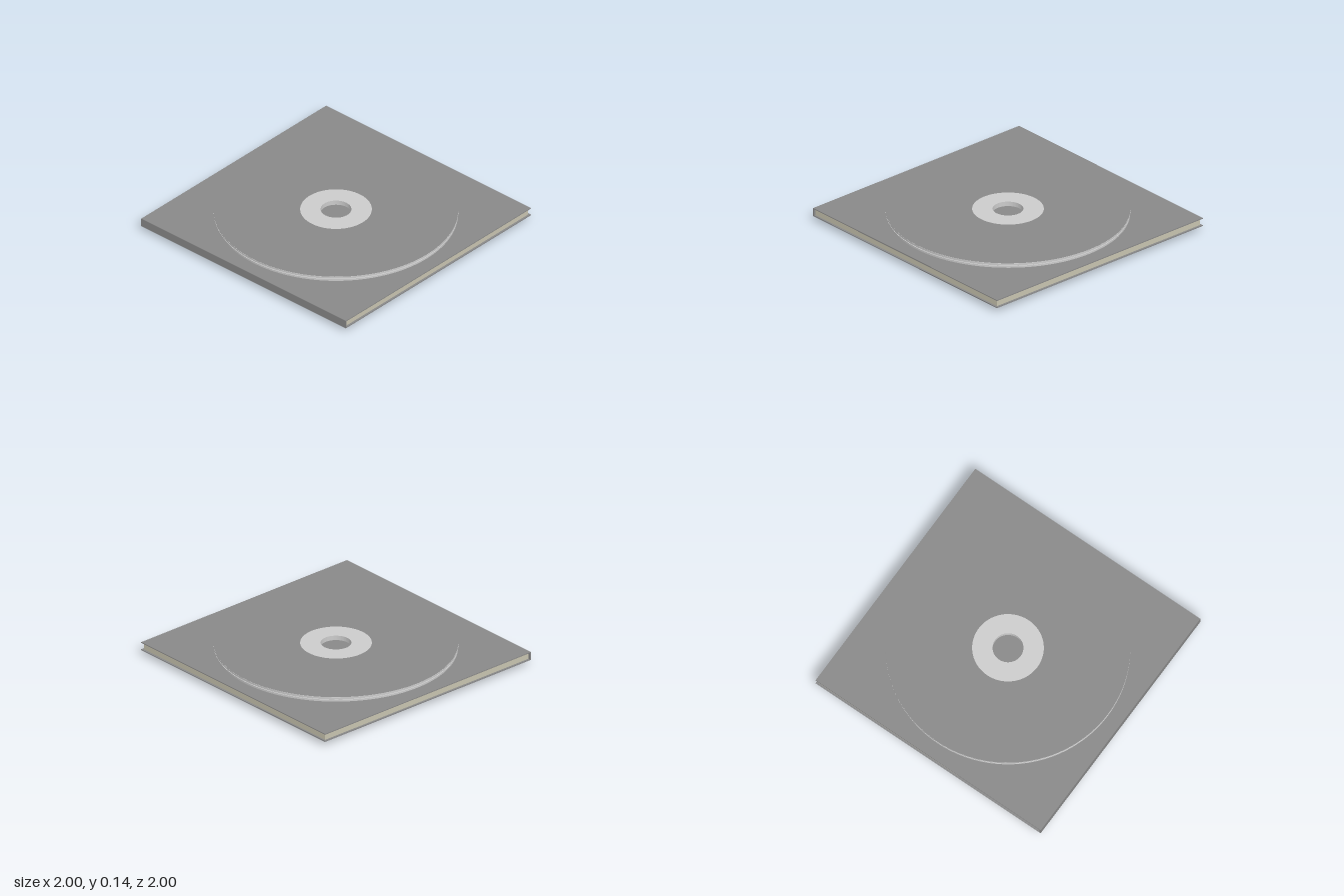
import * as THREE from 'three';
import { toCreasedNormals } from 'three/addons/utils/BufferGeometryUtils.js';

const light = new THREE.MeshStandardMaterial({ color: 0xcccccc });
const grey = new THREE.MeshStandardMaterial({ color: 0x888888 });
const paper = new THREE.MeshStandardMaterial({ color: 0xc8c4b0 });

function part(parent, name, geometry, material, x = 0, y = 0, z = 0) {
  const mesh = new THREE.Mesh(geometry, material);
  mesh.name = name;
  mesh.position.set(x, y, z);
  parent.add(mesh);
  return mesh;
}

// closed ring turned from a counter-clockwise outline of [radius, height] points
function turned(points) {
  const outline = [...points, points[0]].map(([r, y]) => new THREE.Vector2(r, y));
  return toCreasedNormals(new THREE.LatheGeometry(outline, 96), 0.5);
}

const HOLE = 0.112, HUB = 0.26, RIM = 0.887, THICK = 0.036;

// disc resting on y = 0, printed face up
function makeDisc(name) {
  const disc = new THREE.Group();
  disc.name = name;
  // body with a fine seam round its rim
  part(disc, 'discBody', turned([
    [HUB, 0], [RIM, 0], [RIM, 0.015], [RIM - 0.005, 0.016], [RIM - 0.005, 0.019],
    [RIM, 0.02], [RIM, THICK - 0.001], [HUB, THICK - 0.001],
  ]), light);
  part(disc, 'discHub', turned([[HOLE, 0], [HUB, 0], [HUB, THICK], [HOLE, THICK]]), light);
  const label = new THREE.RingGeometry(HUB, RIM, 96);
  label.rotateX(-Math.PI / 2);
  part(disc, 'discFace', label, grey, 0, THICK);
  return disc;
}

export function createModel() {
  const model = new THREE.Group();
  model.name = 'discCase';

  // folded cover: two boards joined by a spine on the -x side
  const cover = new THREE.Group();
  cover.name = 'cover';
  model.add(cover);
  const board = new THREE.BoxGeometry(2, 0.007, 2);
  part(cover, 'topBoard', board, grey, 0, 0.0975);
  part(cover, 'bottomBoard', board, grey, 0, 0.0395);
  part(cover, 'spine', new THREE.BoxGeometry(0.01, 0.051, 2), grey, -0.995, 0.0685);

  // page block inside the cover, set back from the open edges
  const E = 0.985;
  part(model, 'pageBlock', new THREE.BoxGeometry(E + 0.99, 0.044, 2 * E), paper, -0.0025, 0.065);

  // uppermost sheet with a thumb notch on the +x edge
  const sheet = new THREE.Shape();
  sheet.moveTo(-0.99, -E);
  sheet.lineTo(E, -E);
  sheet.lineTo(E, -0.15);
  sheet.absarc(E, 0, 0.15, -Math.PI / 2, Math.PI / 2, true);
  sheet.lineTo(E, E);
  sheet.lineTo(-0.99, E);
  const sheetGeometry = new THREE.ExtrudeGeometry(sheet, { depth: 0.006, bevelEnabled: false, curveSegments: 24 });
  sheetGeometry.rotateX(-Math.PI / 2);
  part(model, 'topSheet', sheetGeometry, paper, 0, 0.087);

  // one disc on each side of the case
  const upper = makeDisc('topDisc');
  upper.position.y = 0.101;
  const lower = makeDisc('bottomDisc');
  lower.rotation.x = Math.PI;
  lower.position.y = THICK;
  model.add(upper, lower);

  return model;
}
